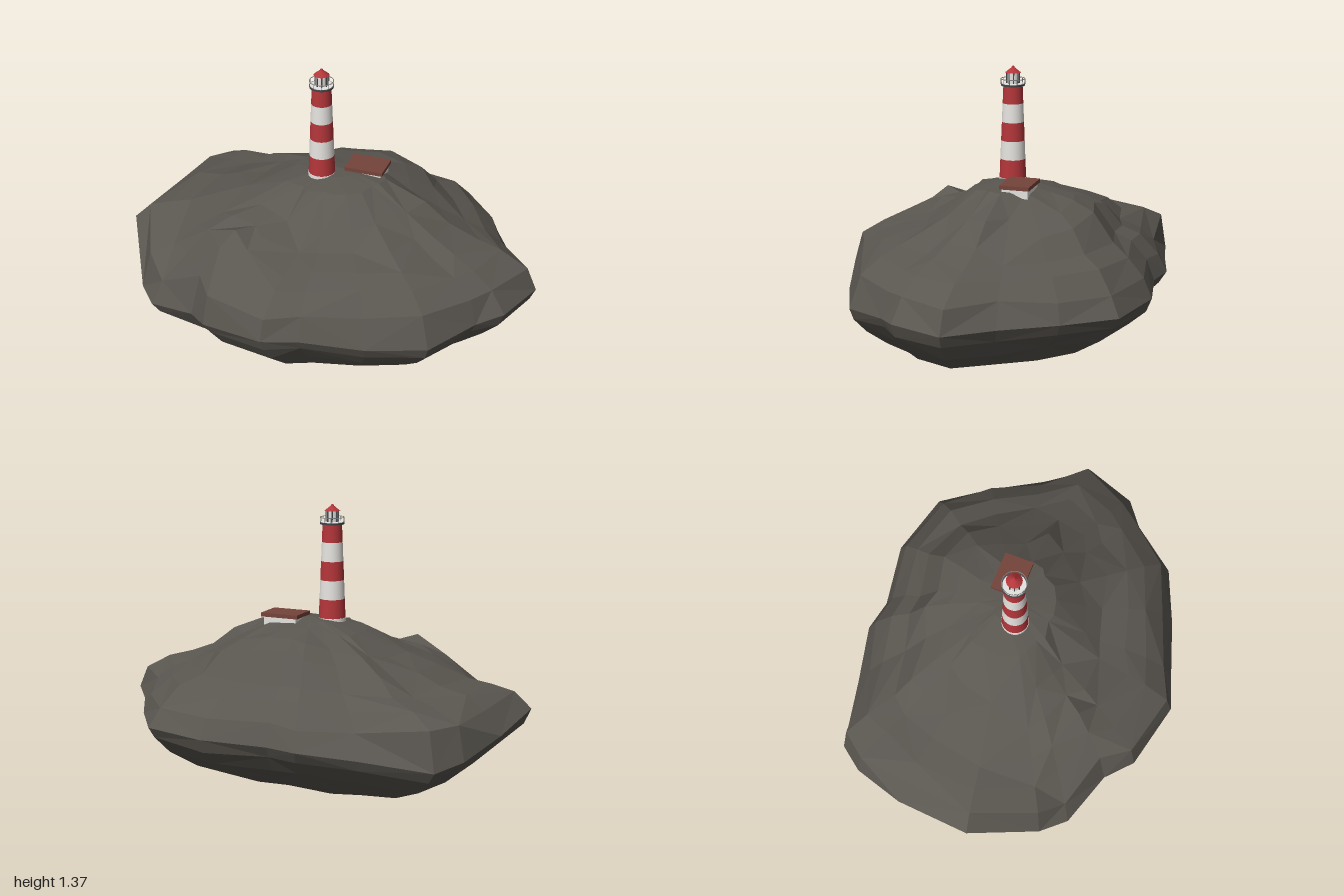
import * as THREE from 'three';

const mat = (name, color, extra = {}) => {
  const m = new THREE.MeshStandardMaterial({ color, ...extra });
  m.name = name;
  return m;
};

// Rim of the island (x, z, y), running from +x round through +z
const RIM = [
  [1.0, -0.04, 0.4], [0.91, 0.21, 0.4], [0.80, 0.30, 0.38], [0.64, 0.52, 0.35], [0.38, 0.63, 0.36], [0.10, 0.72, 0.4],
  [-0.06, 0.775, 0.4], [-0.37, 0.70, 0.37], [-0.48, 0.59, 0.33], [-0.73, 0.50, 0.27], [-0.83, 0.39, 0.28],
  [-1.0, 0.09, 0.47], [-0.97, -0.27, 0.43], [-0.89, -0.52, 0.37], [-0.80, -0.64, 0.34], [-0.48, -0.70, 0.37],
  [-0.21, -0.76, 0.39], [-0.06, -0.73, 0.39], [0.24, -0.78, 0.4], [0.55, -0.70, 0.4], [0.71, -0.48, 0.4],
  [0.85, -0.24, 0.4],
];

// Underside rings: fraction of rim radius, fraction of rim height
const LOWER = [[0, 0], [0.26, 0.1], [0.5, 0.225], [0.72, 0.43], [0.88, 0.66], [0.965, 0.86], [1, 1]];

// Upper rings: fraction of rim radius, then heights toward +x, +z, -x, -z
const UPPER = [
  [0.94, 0.5, 0.5, 0.54, 0.49], [0.82, 0.57, 0.575, 0.578, 0.575], [0.7, 0.61, 0.61, 0.605, 0.63],
  [0.56, 0.66, 0.645, 0.65, 0.75], [0.42, 0.745, 0.7, 0.71, 0.79], [0.24, 0.836, 0.815, 0.793, 0.815],
  [0.1, 0.845, 0.84, 0.838, 0.835], [0, 0.845, 0.845, 0.845, 0.845],
];

function rockGeometry() {
  let seed = 11;
  const rand = () => ((seed = (seed * 16807) % 2147483647) / 2147483647) - 0.5;
  const bump = (x, z, cx, cz, size) => Math.exp(-((x - cx) ** 2 + (z - cz) ** 2) / size);
  const n = RIM.length, pos = [], idx = [];
  const spot = (f, cx, cz, ox, oz) => {
    const g = f === 1 || f < 0.2 ? f : f + rand() * (f < 0.95 ? 0.05 : 0.015);
    return [cx + (ox - cx) * g, cz + (oz - cz) * g];
  };
  LOWER.forEach(([f, t]) => RIM.forEach(([ox, oz, oy]) => {
    const [x, z] = spot(f, 0.13, 0.08, ox, oz);
    pos.push(x, oy * t + (f > 0 && f < 1 ? rand() * 0.018 : 0), z);
  }));
  UPPER.forEach(([f, ...h]) => RIM.forEach(([ox, oz]) => {
    const a = Math.atan2(oz / 0.78, ox), c = Math.cos(a), s = Math.sin(a);
    const [x, z] = spot(f, 0.02, -0.08, ox, oz);
    let y = (c > 0 ? h[0] : h[2]) * c * c + (s > 0 ? h[1] : h[3]) * s * s;
    if (f > 0.2) y += rand() * (f < 0.3 ? 0.006 : 0.02);
    // Rocky knoll above a notched ledge at the front, and a shallow dip at the back
    y += 0.1 * bump(x, z, -0.38, 0.38, 0.025);
    y -= 0.14 * bump(x, z, -0.68, 0.48, 0.035);
    y -= 0.035 * bump(x, z, -0.42, -0.42, 0.06);
    pos.push(x, y, z);
  }));
  const rows = LOWER.length + UPPER.length;
  for (let k = 0; k < rows - 1; k++) {
    for (let i = 0; i < n; i++) {
      const j = (i + 1) % n;
      const a = k * n + i, b = k * n + j, c = a + n, d = b + n;
      if (k === 0) idx.push(a, c, d);
      else if (k === rows - 2) idx.push(a, c, b);
      else if ((i + k) % 2) idx.push(a, c, b, b, c, d);
      else idx.push(a, c, d, a, d, b);
    }
  }
  const geo = new THREE.BufferGeometry();
  geo.setAttribute('position', new THREE.Float32BufferAttribute(pos, 3));
  geo.setIndex(idx);
  geo.computeVertexNormals();
  return geo;
}

export function createModel() {
  const rock = mat('rock', 0x5a5650, { flatShading: true });
  const red = mat('red paint', 0xb4363a);
  const white = mat('white paint', 0xe6e4e0);
  const metal = mat('dark metal', 0x4a4d50);
  const railGrey = mat('rail grey', 0x85888b);
  const roofMat = mat('roof brown', 0x74443a);

  const model = new THREE.Group();
  model.name = 'lighthouseIsland';
  const add = (parent, name, geo, m, x = 0, y = 0, z = 0) => {
    const mesh = new THREE.Mesh(geo, m);
    mesh.name = name;
    mesh.position.set(x, y, z);
    parent.add(mesh);
    return mesh;
  };

  add(model, 'island', rockGeometry(), rock);

  // Tower: plinth and five tapering bands
  const tower = new THREE.Group();
  tower.name = 'lighthouse';
  tower.position.set(-0.06, 0, -0.035);
  model.add(tower);
  const drum = (name, rTop, rBottom, y0, y1, m, sides = 24) =>
    add(tower, name, new THREE.CylinderGeometry(rTop, rBottom, y1 - y0, sides), m, 0, (y0 + y1) / 2, 0);
  drum('plinth', 0.065, 0.065, 0.8, 0.842, white);
  const radius = (t) => 0.063 - 0.018 * t;
  for (let i = 0; i < 5; i++) {
    const y = 0.842 + i * 0.0886;
    drum('band' + (i + 1), radius((i + 1) / 5), radius(i / 5), y, y + 0.0886, i % 2 ? white : red);
  }

  // Gallery with railing
  drum('galleryFloor', 0.058, 0.056, 1.279, 1.288, metal);
  drum('galleryDeck', 0.053, 0.053, 1.288, 1.29, white);
  const rail = add(tower, 'handrail', new THREE.TorusGeometry(0.056, 0.0018, 6, 24), railGrey, 0, 1.311, 0);
  rail.rotation.x = Math.PI / 2;
  for (let i = 0; i < 10; i++) {
    const a = (i / 10) * Math.PI * 2;
    add(tower, 'railPost', new THREE.CylinderGeometry(0.0015, 0.0015, 0.024, 5), railGrey,
      0.056 * Math.cos(a), 1.299, 0.056 * Math.sin(a));
  }

  // Lantern room with window bars and a pointed cap
  drum('lantern', 0.027, 0.027, 1.288, 1.342, white, 16);
  for (let i = 0; i < 8; i++) {
    const a = ((i + 0.5) / 8) * Math.PI * 2;
    add(tower, 'lanternBar', new THREE.CylinderGeometry(0.003, 0.003, 0.054, 5), metal,
      0.029 * Math.cos(a), 1.315, 0.029 * Math.sin(a));
  }
  add(tower, 'lanternCap', new THREE.ConeGeometry(0.037, 0.03, 16), red, 0, 1.355, 0);
  add(tower, 'finial', new THREE.SphereGeometry(0.007, 10, 8), red, 0, 1.365, 0);

  // Keeper's hut with a slab roof
  add(model, 'hutWalls', new THREE.BoxGeometry(0.165, 0.07, 0.125), white, 0.138, 0.814, -0.128);
  add(model, 'hutRoof', new THREE.BoxGeometry(0.186, 0.018, 0.142), roofMat, 0.138, 0.858, -0.128);

  return model;
}
